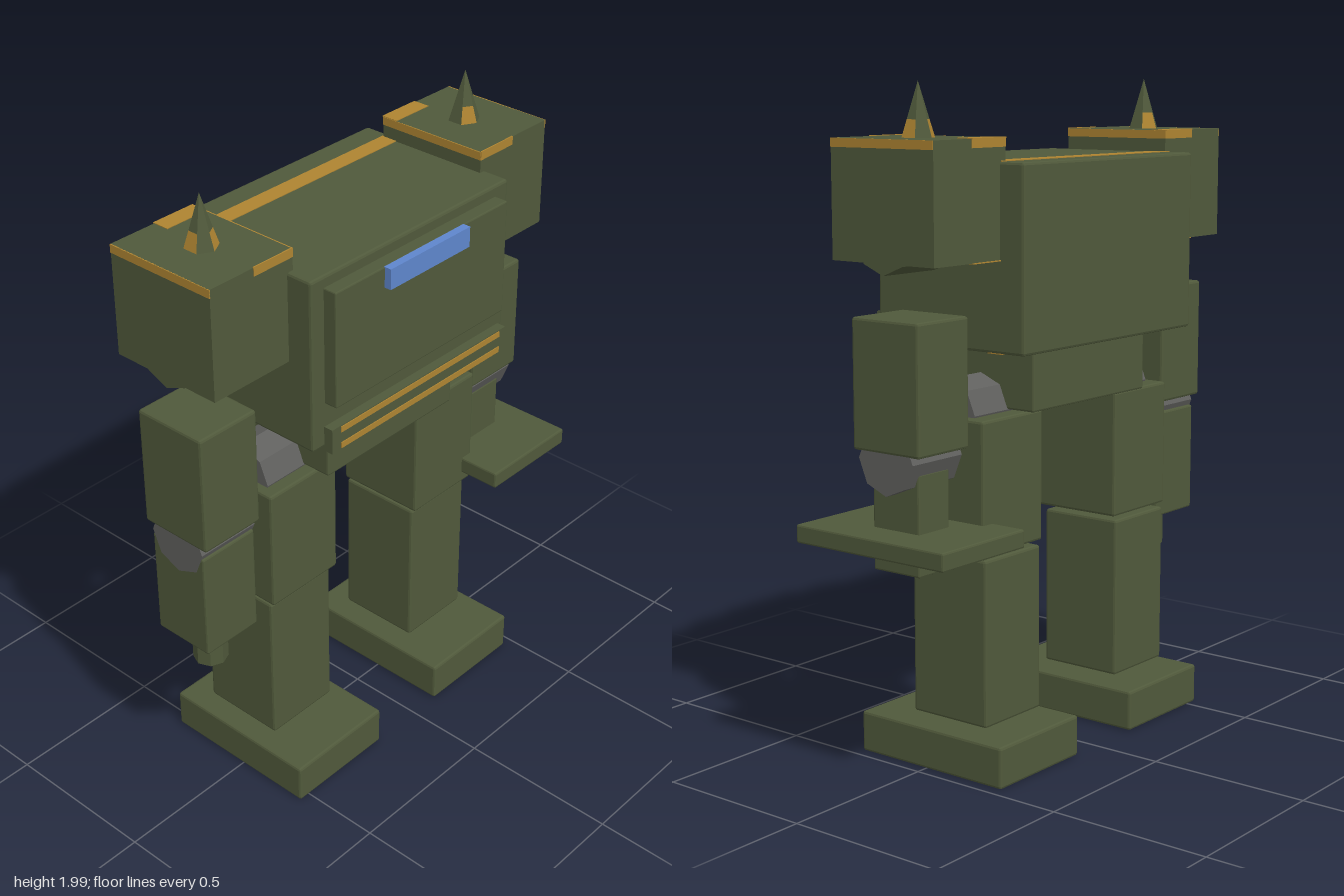
import * as THREE from 'three';
import { RoundedBoxGeometry } from 'three/addons/geometries/RoundedBoxGeometry.js';

const mat = (name, color, flat = false) => {
  const m = new THREE.MeshStandardMaterial({ color, flatShading: flat });
  m.name = name;
  return m;
};

export function createModel() {
  const olive = mat('olive armour', 0x50593b, true);
  const orange = mat('amber paint', 0xae8431, true);
  const grey = mat('joint grey', 0x60605e, true);
  const blue = mat('visor blue', 0x5f86cc, true);

  const root = new THREE.Group();
  root.name = 'walkingRobot';

  const add = (name, geometry, material, x, y, z, parent = root) => {
    const mesh = new THREE.Mesh(geometry, material);
    mesh.name = name;
    mesh.position.set(x, y, z);
    parent.add(mesh);
    return mesh;
  };
  // Box given by its limits; bevel softens the armour edges
  const box = (name, material, [x0, x1], [y0, y1], [z0, z1], bevel = 0, parent = root) => {
    const w = x1 - x0, h = y1 - y0, d = z1 - z0;
    const geometry = bevel ? new RoundedBoxGeometry(w, h, d, 1, bevel) : new THREE.BoxGeometry(w, h, d);
    return add(name, geometry, material, (x0 + x1) / 2, (y0 + y1) / 2, (z0 + z1) / 2, parent);
  };
  // Eight-sided joint lying along x, with a corner pointing down
  const joint = (name, material, [x0, x1], y, parent) => {
    const g = new THREE.CylinderGeometry(0.1, 0.1, x1 - x0, 8).rotateZ(Math.PI / 2);
    return add(name, g, material, (x0 + x1) / 2, y, -0.03, parent);
  };
  const group = (name) => {
    const g = new THREE.Group();
    g.name = name;
    root.add(g);
    return g;
  };
  const stripeZ = [-0.22, -0.165];
  const t = 0.002; // paint thickness

  // Torso, chest and pelvis
  const body = group('torso');
  box('torsoBlock', olive, [-0.45, 0.38], [1.245, 1.78], [-0.3, 0.24], 0.008, body);
  box('chestPlate', olive, [-0.4, 0.325], [1.385, 1.745], [0.23, 0.283], 0.004, body);
  box('visor', blue, [-0.205, 0.13], [1.682, 1.745], [0.28, 0.305], 0, body);
  box('grille', olive, [-0.42, 0.34], [1.247, 1.325], [0.255, 0.285], 0, body);
  for (const y of [1.261, 1.313])
    box('grilleStripe', orange, [-0.385, 0.31], [y - 0.009, y + 0.009], [0.284, 0.288], 0, body);
  box('torsoTopStripe', orange, [-0.445, 0.375], [1.779, 1.78 + t], stripeZ, 0, body);
  box('torsoBottomStripe', orange, [-0.445, 0.375], [1.245 - t, 1.246], stripeZ, 0, body);
  box('pelvis', olive, [-0.31, 0.24], [1.06, 1.25], [-0.225, 0.165], 0.006, body);

  // Both sides, mirrored about the torso's own middle
  const mid = -0.036;
  for (const s of [1, -1]) {
    const side = s > 0 ? 'left' : 'right';
    const span = (a, b) => (s > 0 ? [mid + a, mid + b] : [mid - b, mid - a]);

    // Shoulder block with painted edges
    const shoulder = group(side + 'Shoulder');
    const zs = [-0.216, 0.156];
    box('shoulderBlock', olive, span(0.392, 0.695), [1.508, 1.845], zs, 0, shoulder);
    joint('shoulderJoint', olive, span(0.48, 0.693), 1.575, shoulder);
    const band = [1.82, 1.845 + t], inner = span(0.392, 0.538);
    box('frontStripe', orange, inner, band, [zs[1] - t, zs[1] + t], 0, shoulder);
    box('backStripe', orange, inner, band, [zs[0] - t, zs[0] + t], 0, shoulder);
    box('outerStripe', orange, span(0.693, 0.697), [1.82, 1.845], zs, 0, shoulder);
    box('innerStripe', orange, span(0.39, 0.394), [1.82, 1.845], zs, 0, shoulder);
    box('topStripe', orange, inner, [1.844, 1.845 + t], stripeZ, 0, shoulder);
    box('bottomStripe', orange, inner, [1.508 - t, 1.509], stripeZ, 0, shoulder);

    // Spike: six-sided, alternate lower faces painted
    const x = mid + s * 0.542;
    const base = new THREE.CylinderGeometry(0.033, 0.049, 0.05, 6, 1, true);
    base.clearGroups();
    for (let i = 0; i < 6; i++) base.addGroup(i * 6, 6, i % 2);
    add('spikeBase', base, s > 0 ? [olive, orange] : [orange, olive], x, 1.87, -0.03, shoulder);
    add('spikeTip', new THREE.ConeGeometry(0.033, 0.105, 6), olive, x, 1.9475, -0.03, shoulder);

    // Upper arm and elbow
    const arm = group(side + 'Arm');
    box('upperArm', olive, span(0.48, 0.695), [0.98, 1.355], [-0.155, 0.09], 0.008, arm);
    joint('elbow', grey, span(0.483, 0.692), 0.96, arm);
    if (s > 0) {
      // Left forearm carries a flat plate
      box('forearm', olive, [0.485, 0.615], [0.63, 0.927], [-0.115, 0.057], 0.006, arm);
      box('handPlate', olive, [0.375, 0.73], [0.7, 0.755], [-0.3, 0.25], 0.006, arm);
    } else {
      // Right forearm ends in a short barrel
      box('forearm', olive, [-0.725, -0.522], [0.6, 0.943], [-0.135, 0.07], 0.006, arm);
      add('barrel', new THREE.CylinderGeometry(0.053, 0.053, 0.13, 8), olive, -0.623, 0.547, -0.03, arm);
    }

    // Leg
    const leg = group(side + 'Leg');
    joint('hip', grey, span(0.22, 0.425), 1.06, leg);
    box('thigh', olive, span(0.182, 0.456), [0.663, 1.055], [-0.185, 0.112], 0.008, leg);
    box('shin', olive, span(0.192, 0.447), [0.15, 0.65], [-0.185, 0.09], 0.008, leg);
    box('foot', olive, span(0.134, 0.503), [0.005, 0.13], [-0.285, 0.25], 0.008, leg);
  }

  root.children.forEach((c) => (c.position.y -= 0.0025));
  return root;
}
